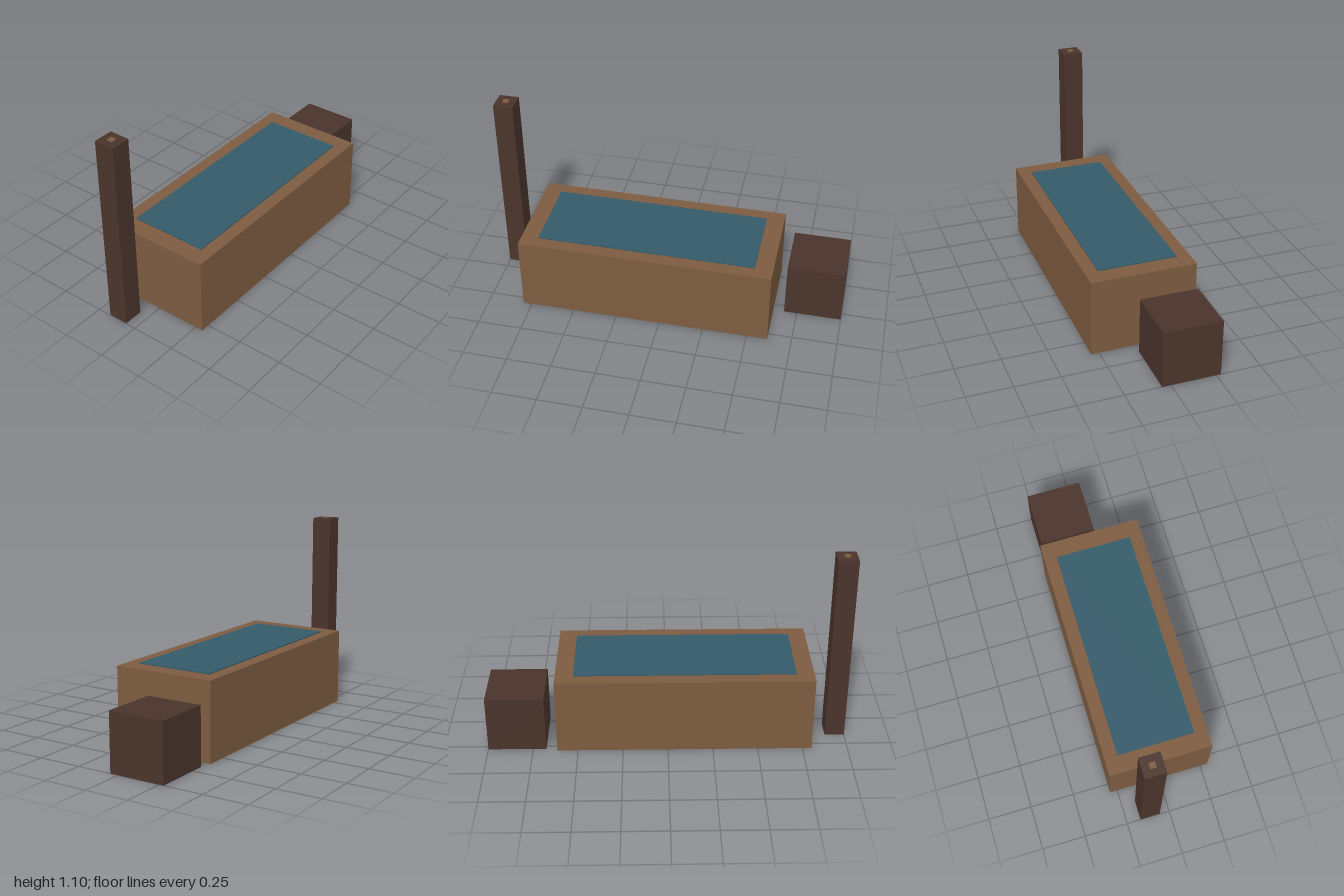
import * as THREE from 'three';

export function createModel() {
  const model = new THREE.Group();
  const paint = (name, color) => {
    const material = new THREE.MeshStandardMaterial({ color });
    material.name = name;
    return material;
  };
  const wood = paint('wood brown', 0x7d5c40);
  const darkWood = paint('dark wood', 0x4a342c);
  const water = paint('water blue', 0x345a69);

  // Box given by its lower and upper corners
  const box = (name, material, [x0, y0, z0], [x1, y1, z1]) => {
    const mesh = new THREE.Mesh(new THREE.BoxGeometry(x1 - x0, y1 - y0, z1 - z0), material);
    mesh.position.set((x0 + x1) / 2, (y0 + y1) / 2, (z0 + z1) / 2);
    mesh.name = name;
    model.add(mesh);
  };

  // Trough with a thin sheet of water on top
  box('trough', wood, [-0.8, 0, -0.293], [0.616, 0.437, 0.293]);
  box('waterSurface', water, [-0.702, 0.436, -0.22], [0.516, 0.443, 0.22]);

  // Block beside the trough
  box('sideBlock', darkWood, [0.678, 0, -0.276], [1, 0.324, 0.048]);

  // Tall post with a small peg showing at its top
  box('post', darkWood, [-1, 0.005, -0.171], [-0.89, 1.095, -0.057]);
  box('postPeg', wood, [-0.961, 1.092, -0.13], [-0.929, 1.1, -0.098]);

  return model;
}
